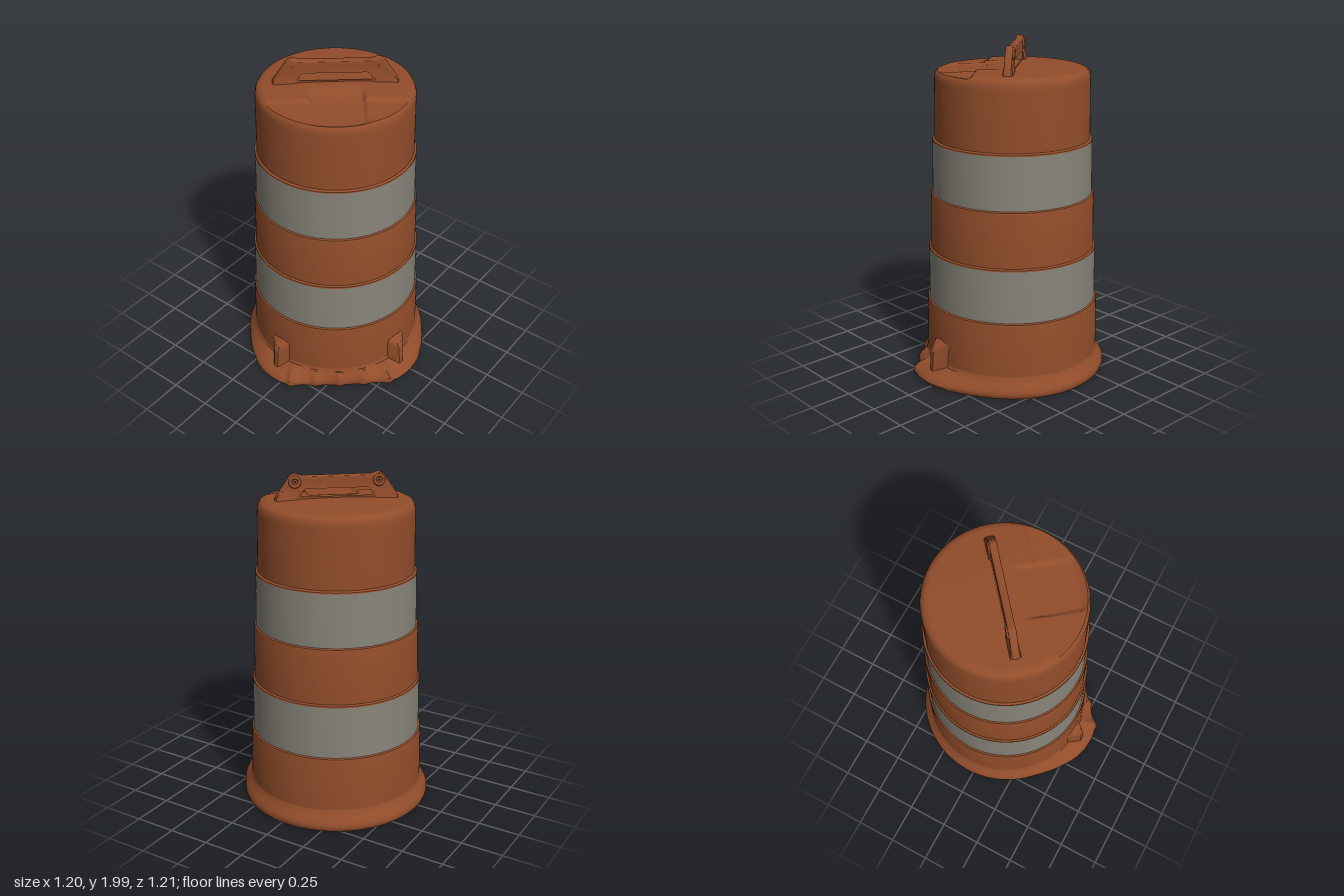
import * as THREE from 'three';
import { mergeVertices, toCreasedNormals } from 'three/addons/utils/BufferGeometryUtils.js';
import { ConvexGeometry } from 'three/addons/geometries/ConvexGeometry.js';

const orange = new THREE.MeshStandardMaterial({ color: 0x924d2b });
const grey = new THREE.MeshStandardMaterial({ color: 0x88847a });
orange.name = 'orange plastic';
grey.name = 'grey reflective band';

const smooth = THREE.MathUtils.smoothstep;

function add(parent, name, geometry, material) {
  const mesh = new THREE.Mesh(geometry, material);
  mesh.name = name;
  parent.add(mesh);
  return mesh;
}

// Revolves [radius, y] points; an optional rule then moves each vertex.
function turned(points, rule, segments = 128) {
  const profile = points.map(([r, y]) => new THREE.Vector2(r, y));
  let g = new THREE.LatheGeometry(profile, segments, Math.PI, Math.PI * 2);
  g.deleteAttribute('uv');
  g.deleteAttribute('normal');
  if (rule) {
    const p = g.attributes.position, v = new THREE.Vector3();
    for (let i = 0; i < p.count; i++) {
      rule(v.fromBufferAttribute(p, i));
      p.setXYZ(i, v.x, v.y, v.z);
    }
  }
  g = mergeVertices(g, 1e-4);
  return toCreasedNormals(g, 0.7);
}

// Flange outline: round, with two swollen corners and a straight ribbed front.
const outline = [[0, 0.55], [30, 0.635], [36, 0.642], [46, 0.637], [54, 0.624], [62, 0.602], [73, 0.582], [82, 0.569], [181, 0.567]];
function flangeRadius(deg) {
  if (deg < 30) return 0.55 / Math.cos(deg * Math.PI / 180);
  const i = outline.findIndex(([a]) => a > deg);
  const [a0, r0] = outline[i - 1], [a1, r1] = outline[i];
  return r0 + (r1 - r0) * (deg - a0) / (a1 - a0);
}

function shapeFlange(v) {
  const r = Math.hypot(v.x, v.z);
  if (r < 0.53) return;
  const deg = Math.abs(Math.atan2(v.x, v.z)) * 180 / Math.PI;
  const blend = (r - 0.525) / 0.042;
  let radius = r + (flangeRadius(deg) - 0.567) * blend;
  // Ribs across the straight front
  const front = 1 - smooth(deg, 29, 35);
  const x = v.x * radius / r;
  const rib = (0.5 + 0.5 * Math.cos(x / 0.15 * Math.PI * 2)) ** 3 * front;
  radius += rib * 0.013 * blend;
  if (v.y > 0.03) v.y += rib * 0.018;
  v.x *= radius / r;
  v.z *= radius / r;
}

// Lid relief: a sunken central panel and two lower front shelves.
function shapeLid(v) {
  const r = Math.hypot(v.x, v.z);
  const fade = 1 - smooth(r, 0.4, 0.448);
  const ax = Math.abs(v.x);
  const panel = (1 - smooth(ax, 0.138, 0.16)) * smooth(v.z, 0.03, 0.2);
  const shelf = smooth(ax, 0.138, 0.16) * smooth(v.z, 0.175, 0.197);
  v.y -= (panel * 0.028 + shelf * 0.014) * fade;
}

function makeHandle() {
  const handle = new THREE.Group();
  handle.name = 'handle';
  // Arched plate with a grip window and two eyelets
  const s = new THREE.Shape();
  s.moveTo(-0.36, 1.82);
  s.lineTo(-0.35, 1.87);
  s.lineTo(-0.28, 1.97);
  s.quadraticCurveTo(-0.265, 2, -0.235, 2);
  s.lineTo(-0.2, 1.988);
  s.lineTo(0.2, 1.988);
  s.lineTo(0.235, 2);
  s.quadraticCurveTo(0.265, 2, 0.28, 1.97);
  s.lineTo(0.35, 1.87);
  s.lineTo(0.36, 1.82);
  const w = new THREE.Path();
  w.moveTo(-0.215, 1.875);
  w.lineTo(-0.2, 1.905);
  w.quadraticCurveTo(-0.19, 1.922, -0.17, 1.922);
  w.lineTo(0.17, 1.922);
  w.quadraticCurveTo(0.19, 1.922, 0.2, 1.905);
  w.lineTo(0.215, 1.875);
  w.quadraticCurveTo(0.21, 1.864, 0.19, 1.864);
  w.lineTo(-0.19, 1.864);
  w.quadraticCurveTo(-0.21, 1.864, -0.215, 1.875);
  s.holes.push(w);
  for (const x of [-0.24, 0.24]) {
    s.holes.push(new THREE.Path().absarc(x, 1.955, 0.012, 0, Math.PI * 2, true));
  }
  const plate = new THREE.ExtrudeGeometry(s, {
    depth: 0.024, bevelThickness: 0.009, bevelSize: 0.007, bevelOffset: -0.007, bevelSegments: 3, curveSegments: 10,
  });
  plate.translate(0, 0, -0.012);
  add(handle, 'handlePlate', toCreasedNormals(plate, 0.7), orange);

  for (const side of [-1, 1]) {
    // Raised ring around each eyelet on the back face
    const ring = add(handle, 'eyeletRing', new THREE.TorusGeometry(0.026, 0.01, 8, 24), orange);
    ring.position.set(side * 0.24, 1.955, -0.022);
    // Flared foot with a buttress behind it
    const foot = [];
    for (const z of [-0.036, 0.032]) {
      foot.push(new THREE.Vector3(side * 0.22, 1.82, z), new THREE.Vector3(side * 0.355, 1.82, z),
        new THREE.Vector3(side * 0.345, 1.868, z * 0.8), new THREE.Vector3(side * 0.225, 1.868, z * 0.8),
        new THREE.Vector3(side * 0.29, 1.925, z * 0.5), new THREE.Vector3(side * 0.225, 1.915, z * 0.5));
    }
    add(handle, 'handleFoot', toCreasedNormals(new ConvexGeometry(foot), 0.7), orange);
  }
  handle.position.z = -0.014;
  return handle;
}

export function createModel() {
  const model = new THREE.Group();
  model.name = 'trafficDrum';
  const drum = new THREE.Group();
  drum.name = 'drum';
  drum.position.set(-0.037, 0, -0.037);
  drum.rotation.y = 0.694;
  model.add(drum);

  // Base flange with a closed underside
  add(drum, 'baseFlange', turned([[0, 0.012], [0.525, 0.012], [0.557, 0.006], [0.563, 0.013], [0.567, 0.03],
    [0.565, 0.046], [0.558, 0.06], [0.55, 0.074], [0.538, 0.092], [0.528, 0.108], [0.522, 0.13], [0.518, 0.14]], shapeFlange, 256), orange);

  // Stepped body, bottom to top; each orange section overlaps the band below
  add(drum, 'lowerBody', turned([[0.523, 0.1], [0.518, 0.435], [0.515, 0.45], [0.5, 0.459]]), orange);
  add(drum, 'lowerBand', turned([[0.506, 0.455], [0.502, 0.767]]), grey);
  add(drum, 'middleBody', turned([[0.495, 0.765], [0.504, 0.767], [0.502, 0.775], [0.492, 0.782],
    [0.486, 1.095], [0.483, 1.108], [0.468, 1.118]]), orange);
  add(drum, 'upperBand', turned([[0.475, 1.114], [0.47, 1.427]]), grey);

  // Upper body and lid in one surface
  const top = [[0.46, 1.425], [0.472, 1.427], [0.47, 1.434], [0.458, 1.442], [0.453, 1.78], [0.451, 1.805],
    [0.445, 1.824], [0.435, 1.837], [0.42, 1.844]];
  for (let i = 0; i <= 48; i++) top.push([0.408 * (1 - i / 48), 1.847 + 0.014 * Math.sin(i / 48 * Math.PI / 2)]);
  add(drum, 'upperBodyAndLid', turned(top, shapeLid, 256), orange);

  // Wedge lugs above the two flange corners
  for (const side of [-1, 1]) {
    const pts = [];
    for (const [y, tip] of [[0.05, 0.588], [0.2, 0.578], [0.235, 0.56], [0.265, 0.52]]) {
      pts.push(new THREE.Vector3(side * 0.1, y, 0.495), new THREE.Vector3(-side * 0.07, y, 0.495),
        new THREE.Vector3(-side * 0.015, y, tip), new THREE.Vector3(side * 0.015, y, tip));
    }
    const lug = add(drum, 'lug', new ConvexGeometry(pts), orange);
    lug.rotation.y = side * 42 * Math.PI / 180;
  }

  drum.add(makeHandle());
  return model;
}
